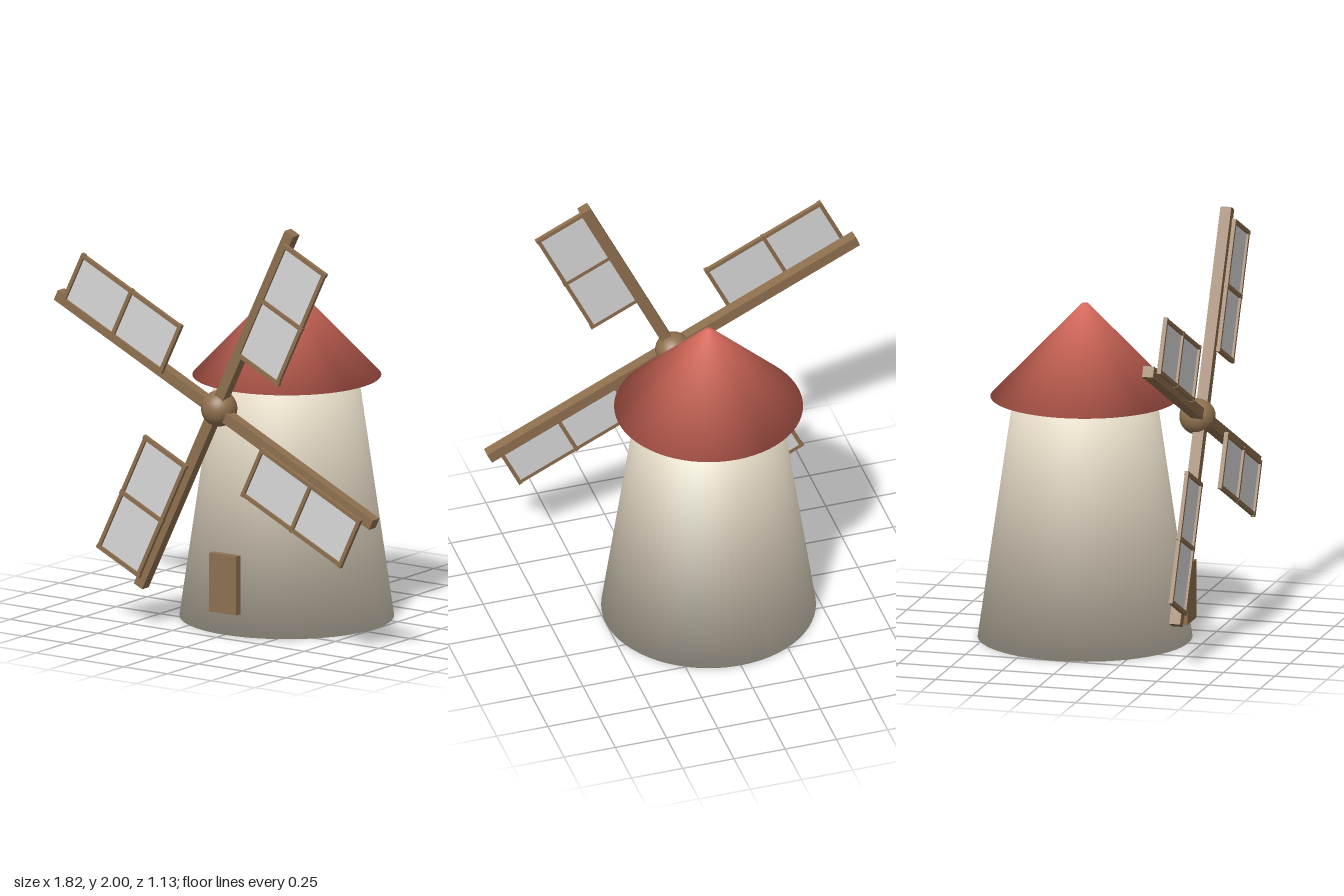
import * as THREE from 'three';

const material = (name, color) => {
  const m = new THREE.MeshStandardMaterial({ color });
  m.name = name;
  return m;
};

// Closed frustum whose normals blend softly across both rims
function softFrustum(rTop, rBottom, height) {
  const g = new THREE.CylinderGeometry(rTop, rBottom, height, 64, 1);
  const p = g.attributes.position, n = g.attributes.normal;
  const side = new THREE.Vector2(height, rBottom - rTop).normalize();
  for (let i = 0; i < p.count; i++) {
    const r = Math.hypot(p.getX(i), p.getZ(i));
    if (r < 1e-5) continue;
    const cap = Math.sign(p.getY(i));
    const v = new THREE.Vector3(side.x * p.getX(i) / r, side.y + cap, side.x * p.getZ(i) / r).normalize();
    n.setXYZ(i, v.x, v.y, v.z);
  }
  return g;
}

export function createModel() {
  const model = new THREE.Group();
  model.name = 'windmill';
  const plaster = material('cream plaster', 0xe0d6c2);
  const red = material('red roof', 0xd66a5b);
  const wood = material('brown wood', 0x8e6f4e);
  const cloth = material('pale grey cloth', 0xd8d8d8);

  const add = (parent, name, geometry, mat, x, y, z) => {
    const mesh = new THREE.Mesh(geometry, mat);
    mesh.name = name;
    mesh.position.set(x, y, z);
    parent.add(mesh);
    return mesh;
  };
  const box = (parent, name, mat, w, h, d, x, y, z) =>
    add(parent, name, new THREE.BoxGeometry(w, h, d), mat, x, y, z);

  // Tapered tower, with the roof floating just above it
  add(model, 'tower', softFrustum(0.337, 0.5, 1.13), plaster, 0, 0.565, -0.065);
  add(model, 'roof', softFrustum(0.015, 0.44, 0.445), red, 0, 1.3725, -0.065);

  // Door plank standing against the tower front
  box(model, 'door', wood, 0.154, 0.28, 0.037, 0, 0.245, 0.434);

  // Rotor: hub and four identical arms with framed sails
  const rotor = new THREE.Group();
  rotor.name = 'rotor';
  rotor.position.set(0, 1.09, 0.48);
  model.add(rotor);
  add(rotor, 'hub', new THREE.SphereGeometry(0.085, 32, 20), wood, 0, 0, 0);

  const tilt = THREE.MathUtils.degToRad(25.6);
  for (let k = 0; k < 4; k++) {
    const blade = new THREE.Group();
    blade.name = 'blade' + (k + 1);
    blade.rotation.z = k * Math.PI / 2 - tilt;
    rotor.add(blade);

    box(blade, 'arm', wood, 0.053, 0.966, 0.053, 0, 0.513, 0.02);
    box(blade, 'sail', cloth, 0.245, 0.615, 0.006, 0.137, 0.63, 0.053);
    for (const x of [0.014, 0.261])
      box(blade, 'sailRail', wood, 0.018, 0.63, 0.018, x, 0.63, 0.058);
    for (const y of [0.325, 0.632, 0.938])
      box(blade, 'sailCrossbar', wood, 0.27, 0.018, 0.02, 0.138, y, 0.058);
  }
  return model;
}
